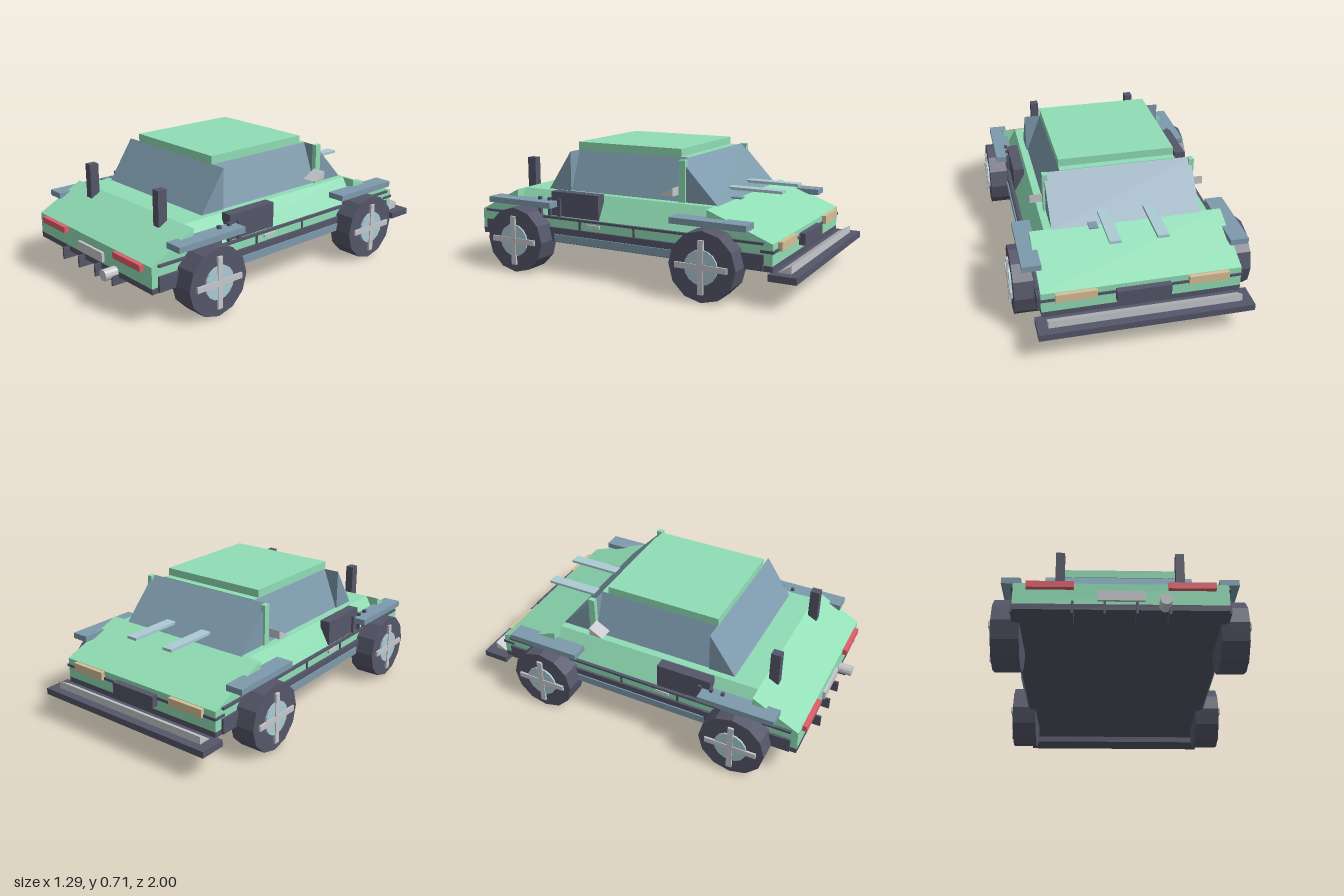
import * as THREE from 'three';

const mat = (name, color) => {
  const m = new THREE.MeshStandardMaterial({ color });
  m.name = name;
  return m;
};

export function createModel() {
  const car = new THREE.Group();
  car.name = 'car';
  const green = mat('mint paint', 0x90deb6);
  const blue = mat('slate blue', 0x7d9aac);
  const dark = mat('dark trim', 0x555669);
  const red = mat('red lamp', 0xdf5f6a);
  const grey = mat('light grey', 0xc6c8cc);
  const tan = mat('tan lamp', 0xd6bf98);
  const pale = mat('pale blue metal', 0xaccbd5);

  const add = (name, geo, material, parent = car) => {
    const m = new THREE.Mesh(geo, material);
    m.name = name;
    parent.add(m);
    return m;
  };
  // Box given by its limits on each axis
  const block = (name, material, [x0, x1], [y0, y1], [z0, z1], parent) =>
    add(name, new THREE.BoxGeometry(x1 - x0, y1 - y0, z1 - z0)
      .translate((x0 + x1) / 2, (y0 + y1) / 2, (z0 + z1) / 2), material, parent);
  // Side profile of [z, y] points, extruded across x
  const prism = (name, material, [x0, x1], points) => {
    const shape = new THREE.Shape(points.map(([z, y]) => new THREE.Vector2(-z, y)));
    const geo = new THREE.ExtrudeGeometry(shape, { depth: x1 - x0, bevelEnabled: false });
    return add(name, geo.rotateY(Math.PI / 2).translate(x0, 0, 0), material);
  };
  // Block whose sides lean inward towards the top
  const leaning = (name, material, bottom, top, ys, zs) => {
    const mesh = block(name, material, [-bottom, bottom], ys, zs);
    const g = mesh.geometry, p = g.attributes.position, mid = (ys[0] + ys[1]) / 2;
    for (let i = 0; i < p.count; i++) {
      if (p.getY(i) > mid) p.setX(i, Math.sign(p.getX(i)) * top);
    }
    g.computeVertexNormals();
  };
  // Faceted cylinder lying along the x axis
  const disc = (r, width, sides) => {
    const g = new THREE.CylinderGeometry(r, r, width, sides).rotateZ(Math.PI / 2).toNonIndexed();
    g.computeVertexNormals();
    return g;
  };
  // Both sides of the car
  const pair = (name, material, [x0, x1], ys, zs) => {
    block(name + 'Left', material, [x0, x1], ys, zs);
    block(name + 'Right', material, [-x1, -x0], ys, zs);
  };

  // Bodywork: lower hull, sloped shoulders, bonnet and rear deck wedges
  block('lowerBody', green, [-0.515, 0.515], [0.2, 0.31], [-0.865, 0.925]);
  leaning('shoulders', green, 0.515, 0.44, [0.31, 0.445], [-0.51, 0.67]);
  prism('bonnet', green, [-0.515, 0.515], [[-0.865, 0.31], [-0.51, 0.31], [-0.51, 0.445]]);
  prism('rearDeck', green, [-0.515, 0.515], [[0.925, 0.31], [0.67, 0.445], [0.67, 0.31]]);

  // Cabin
  leaning('sideWindows', blue, 0.4, 0.315, [0.44, 0.665], [-0.305, 0.38]);
  prism('windscreen', blue, [-0.4, 0.4], [[-0.52, 0.44], [-0.305, 0.44], [-0.305, 0.665]]);
  prism('rearWindow', blue, [-0.405, 0.405], [[0.53, 0.44], [0.38, 0.665], [0.38, 0.44]]);
  block('roof', green, [-0.315, 0.315], [0.665, 0.71], [-0.265, 0.385]);
  block('roofHeader', green, [-0.315, 0.315], [0.66, 0.668], [-0.305, -0.265]);
  pair('pillar', green, [0.385, 0.412], [0.44, 0.665], [-0.337, -0.3]);

  // Underside, sills and trim lines
  block('floor', dark, [-0.515, 0.515], [0.17, 0.2], [-0.865, 0.925]);
  block('sill', dark, [-0.528, 0.528], [0.175, 0.255], [-0.82, 0.89]);
  pair('sideSkirt', blue, [0.5, 0.535], [0.178, 0.22], [-0.41, 0.41]);
  pair('waistTrim', dark, [0.49, 0.53], [0.304, 0.316], [-0.82, 0.89]);
  block('noseTrim', dark, [-0.52, 0.52], [0.263, 0.277], [-0.872, -0.8]);
  for (const z of [0.25, -0.09]) {
    pair('doorSeam', dark, [0.51, 0.52], [0.255, 0.305], [z - 0.006, z + 0.006]);
  }
  pair('doorHandle', grey, [0.51, 0.525], [0.275, 0.292], [0.12, 0.2]);

  // Side intakes and louvres
  pair('intake', dark, [0.455, 0.515], [0.32, 0.455], [0.13, 0.435]);
  for (const z of [0.51, 0.445, 0.38]) {
    pair('louvre', dark, [0.51, 0.528], [0.32, 0.42], [z - 0.009, z + 0.009]);
  }

  // Wheels and fender flares
  for (const [axle, z] of [['rear', 0.61], ['front', -0.54]]) {
    const middle = z > 0 ? 0.605 : -0.545;
    pair(axle + 'Fender', blue, [0.49, 0.588], [0.372, 0.404], [middle - 0.21, middle + 0.21]);
    for (const side of [1, -1]) {
      const wheel = new THREE.Group();
      wheel.name = axle + 'Wheel' + (side > 0 ? 'Left' : 'Right');
      wheel.position.set(side * 0.56, 0.1825, z);
      add('tyre', disc(0.1825, 0.14, 12), dark, wheel);
      add('hub', disc(0.09, 0.02, 16).translate(side * 0.07, 0, 0), pale, wheel);
      add('spokeUpright', new THREE.BoxGeometry(0.012, 0.275, 0.03).translate(side * 0.079, 0, 0), grey, wheel);
      add('spokeLevel', new THREE.BoxGeometry(0.011, 0.03, 0.285).translate(side * 0.079, 0, 0), grey, wheel);
      car.add(wheel);
    }
  }

  // Nose: splitter, blade, grille and lamps
  block('splitter', dark, [-0.55, 0.55], [0.135, 0.17], [-1, -0.855]);
  prism('splitterBlade', grey, [-0.495, 0.495], [[-0.955, 0.17], [-0.885, 0.17], [-0.955, 0.21]]);
  block('grille', dark, [-0.14, 0.14], [0.225, 0.288], [-0.9, -0.865]);
  pair('headlamp', tan, [0.235, 0.445], [0.262, 0.308], [-0.888, -0.865]);

  // Bonnet rails and small vent
  for (const x of [-0.125, 0.12]) {
    block('bonnetRail', pale, [x - 0.03, x + 0.03], [0.485, 0.5], [-0.768, -0.465]);
  }
  block('bonnetVent', blue, [0.163, 0.21], [0.45, 0.458], [-0.565, -0.508]);

  // Wedge mirrors
  const mirror = [[-0.3, 0.485], [-0.22, 0.485], [-0.3, 0.53]];
  prism('mirrorLeft', grey, [0.4, 0.48], mirror);
  prism('mirrorRight', grey, [-0.48, -0.4], mirror);

  // Tail: posts, lamps, plate, diffuser fins and exhaust
  pair('rearPost', dark, [0.282, 0.327], [0.41, 0.6], [0.685, 0.738]);
  pair('tailLamp', red, [0.225, 0.452], [0.276, 0.309], [0.925, 0.95]);
  block('plate', grey, [-0.113, 0.113], [0.214, 0.265], [0.925, 0.94]);
  for (const x of [-0.23, -0.078, 0.075, 0.23]) {
    block('diffuserFin', dark, [x - 0.006, x + 0.006], [0.132, 0.197], [0.815, 0.962]);
  }
  add('exhaust', disc(0.03, 0.08, 12).rotateY(Math.PI / 2).translate(0.208, 0.192, 0.96), grey);

  return car;
}
